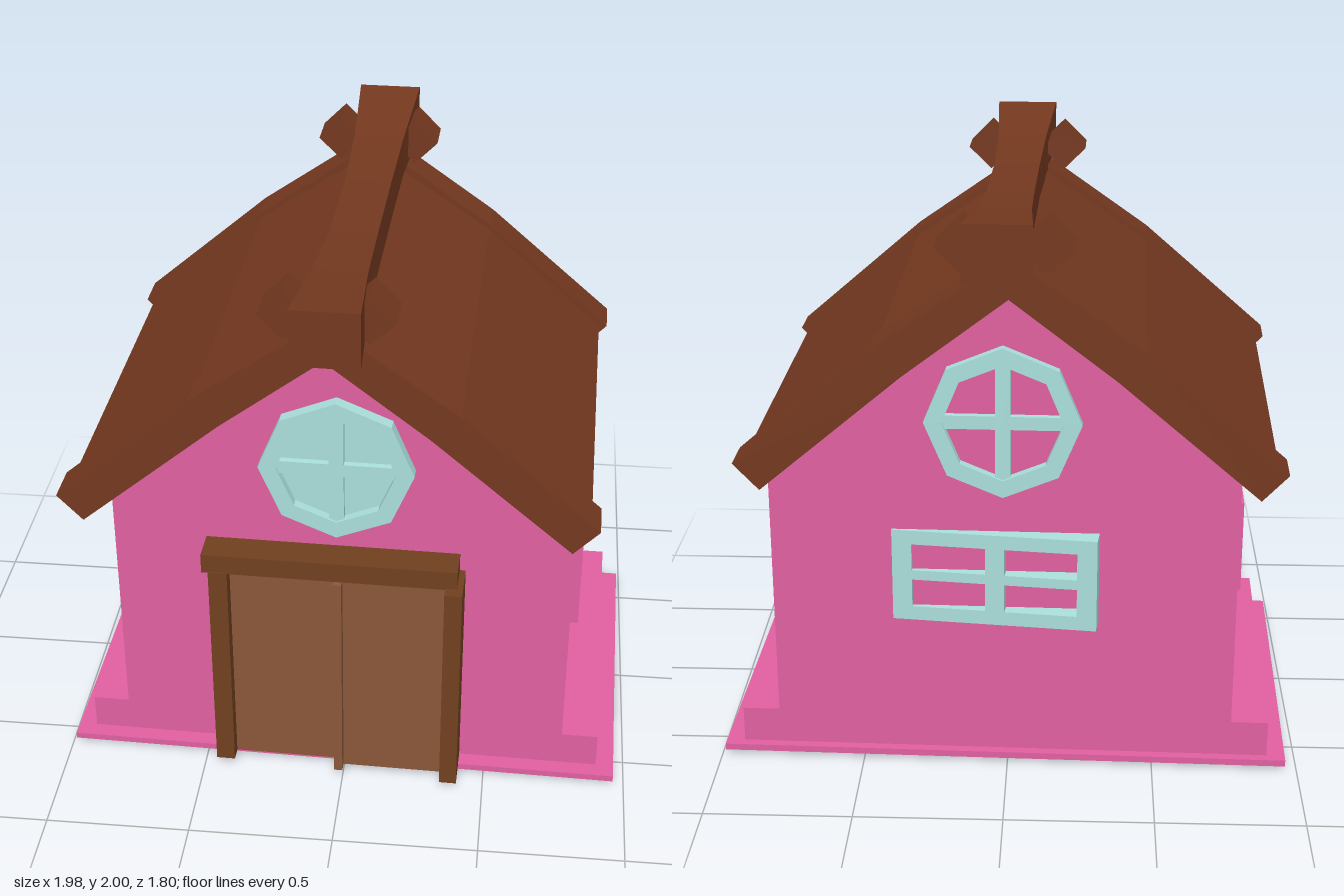
import * as THREE from 'three';

const mat = (color) => new THREE.MeshStandardMaterial({ color, flatShading: true, side: THREE.DoubleSide });
const PINK = mat(0xe0609f), ROOF = mat(0x74381f), POST = mat(0x70401f), DOOR = mat(0x8a5639), TEAL = mat(0xaadfdb);
const APEX = -0.03; // x of the roof ridge
const FRONT = 0.543, BACK = -0.602; // wall faces

function add(parent, name, geometry, material) {
  const m = new THREE.Mesh(geometry, material);
  m.name = name;
  parent.add(m);
  return m;
}

// Box given by its limits
function box(parent, name, material, x0, x1, y0, y1, z0, z1) {
  const m = add(parent, name, new THREE.BoxGeometry(x1 - x0, y1 - y0, z1 - z0), material);
  m.position.set((x0 + x1) / 2, (y0 + y1) / 2, (z0 + z1) / 2);
  return m;
}

const path = (pts, Type = THREE.Shape) => new Type(pts.map(([x, y]) => new THREE.Vector2(x, y)));
const rect = (x0, x1, y0, y1) => [[x0, y0], [x1, y0], [x1, y1], [x0, y1]];

// Outline with holes, extruded from z0 to z1
function slab(pts, z0, z1, holes = []) {
  const s = path(pts);
  s.holes = holes.map((h) => path(h, THREE.Path));
  return new THREE.ExtrudeGeometry(s, { depth: z1 - z0, bevelEnabled: false }).translate(0, 0, z0);
}

// Both slopes of a roof from the right half of its top and underside
function roofOutline(top, under) {
  const mirror = (p) => p.slice(1).map(([x, y]) => [-x, y]).reverse();
  const outline = [...mirror(top), ...top, ...[...under].reverse(), ...mirror(under).reverse()];
  return outline.map(([x, y]) => [x + APEX, y]);
}

// Four-pane window frame, outer face at z = 0
function paneWindow(material, depth) {
  const g = new THREE.Group();
  const holes = [];
  for (const [x0, x1] of [[-0.28, -0.03], [0.035, 0.28]])
    for (const [y0, y1] of [[-0.115, -0.015], [0.02, 0.115]]) holes.push(rect(x0, x1, y0, y1));
  add(g, 'windowFrame', slab(rect(-0.347, 0.347, -0.165, 0.165), -depth, 0, holes), material);
  return g;
}

// Octagonal window with a cross of glazing bars
function octagonWindow(name, glazed) {
  const g = new THREE.Group();
  g.name = name;
  const ring = (r) => Array.from({ length: 8 }, (_, i) => [r * Math.sin(i * Math.PI / 4), r * Math.cos(i * Math.PI / 4)]);
  add(g, 'octagonFrame', slab(ring(0.26), 0, 0.045, [ring(0.2)]), TEAL);
  box(g, 'verticalBar', TEAL, -0.025, 0.025, -0.2, 0.2, 0, 0.035);
  box(g, 'horizontalBar', TEAL, -0.2, 0.2, -0.023, 0.023, 0, 0.035);
  if (glazed) add(g, 'pane', slab(ring(0.21), 0, 0.012), TEAL);
  return g;
}

// Side wall with its window and the step at its foot; s is the side
function sideWall(s) {
  const g = new THREE.Group();
  g.name = s > 0 ? 'leftWall' : 'rightWall';
  g.rotation.y = s * Math.PI / 2;
  const c = s * 0.03, w = -s * 0.025, half = (FRONT - BACK) / 2;
  add(g, 'sidePanel', slab(rect(c - half, c + half, 0.16, s > 0 ? 1.1 : 1.13), 0.77, 0.785,
    [rect(w - 0.33, w + 0.33, 0.55, 0.85)]), PINK);
  const win = paneWindow(PINK, 0.11);
  win.name = 'sideWindow';
  win.position.set(w, 0.7, 0.815);
  box(win, 'windowBack', PINK, -0.347, 0.347, -0.165, 0.165, -0.12, -0.11);
  g.add(win);
  // hollow step
  box(g, 'stepTread', PINK, c - half, c + half, 0.15, 0.165, 0.77, 0.912);
  box(g, 'stepRiser', PINK, c - half, c + half, 0.03, 0.165, 0.897, 0.912);
  return g;
}

export function createModel() {
  const root = new THREE.Group();
  root.name = 'cottage';
  const house = new THREE.Group();
  house.name = 'house';
  house.rotation.y = -0.022;
  root.add(house);

  // Base rim, open in the middle
  const base = add(house, 'baseRim', slab(rect(-0.975, 0.975, -0.6, 0.635), 0.015, 0.038,
    [rect(-0.9, 0.9, -0.53, 0.59)]), PINK);
  base.rotation.x = -Math.PI / 2;
  box(house, 'threshold', PINK, -0.22, 0.47, 0, 0.015, 0.53, 0.545);

  // Gable walls
  const gable = [[-0.912, 0.03], [0.912, 0.03], [0.912, 0.165], [0.785, 0.165], [0.785, 1.09],
    [APEX + 0.34, 1.485], [APEX, 1.745], [APEX - 0.34, 1.485], [-0.785, 1.125], [-0.785, 0.165], [-0.912, 0.165]];
  add(house, 'frontWall', slab(gable, FRONT - 0.015, FRONT), PINK);
  add(house, 'backWall', slab(gable, BACK, BACK + 0.015), PINK);
  for (const s of [1, -1]) house.add(sideWall(s));

  // Roof panels and the thicker boards at both ends
  const panel = roofOutline([[0, 1.84], [0.43, 1.547], [0.86, 1.17]], [[0, 1.755], [0.34, 1.5], [0.82, 1.13]]);
  const board = roofOutline([[0, 1.87], [0.435, 1.565], [0.89, 1.17]], [[0, 1.735], [0.34, 1.475], [0.805, 1.08]]);
  add(house, 'roofPanels', slab(panel, -0.67, 0.6), ROOF);
  add(house, 'frontRoofBoard', slab(board, 0.59, 0.73), ROOF);
  add(house, 'backRoofBoard', slab(board, -0.8, -0.66), ROOF);

  // Sagging ridge beam that flares at its ends: z, half width, bottom, top
  const stations = [[-0.9, 0.11, 1.81, 2], [-0.53, 0.088, 1.808, 1.952], [-0.2, 0.08, 1.78, 1.925],
    [0.2, 0.08, 1.78, 1.925], [0.53, 0.088, 1.808, 1.952], [0.9, 0.11, 1.81, 2]];
  const beam = new THREE.BoxGeometry(2, 2, 5, 1, 1, 5);
  const p = beam.attributes.position;
  for (let i = 0; i < p.count; i++) {
    const [z, w, lo, hi] = stations[Math.round(p.getZ(i) + 2.5)];
    p.setXYZ(i, p.getX(i) * w, p.getY(i) > 0 ? hi : lo, z);
  }
  beam.computeVertexNormals();
  add(house, 'ridgeBeam', beam, ROOF);

  // Diamond blocks beside the beam ends
  for (const z of [0.67, -0.71])
    for (const x of [-0.15, 0.12]) {
      const b = add(house, 'ridgeBlock', new THREE.BoxGeometry(0.115, 0.115, 0.14), ROOF);
      b.position.set(x, 1.89, z);
      b.rotation.z = Math.PI / 4;
    }

  // Double door
  const door = new THREE.Group();
  door.name = 'door';
  house.add(door);
  box(door, 'doorPost', POST, -0.442, -0.377, 0.03, 0.85, 0.5, 0.66);
  box(door, 'doorPost', POST, 0.363, 0.423, 0.03, 0.85, 0.5, 0.695);
  box(door, 'lintel', POST, -0.465, 0.403, 0.845, 0.917, 0.53, 0.655);
  box(door, 'doorLeaf', DOOR, -0.38, -0.01, 0.03, 0.848, 0.5, 0.61);
  box(door, 'doorLeaf', DOOR, 0.01, 0.365, 0.03, 0.848, 0.55, 0.64);
  box(door, 'middleStrip', DOOR, -0.015, 0.015, 0.03, 0.845, 0.55, 0.675);

  // Gable windows
  const front = octagonWindow('frontRoundWindow', true);
  front.position.set(-0.012, 1.24, FRONT);
  const back = octagonWindow('backRoundWindow', false);
  back.position.set(0, 1.26, BACK + 0.012);
  back.rotation.y = Math.PI;
  const backPanes = paneWindow(TEAL, 0.08);
  backPanes.name = 'backWindow';
  backPanes.position.set(0.03, 0.7, -0.64);
  backPanes.rotation.y = Math.PI - 0.085;
  house.add(front, back, backPanes);

  return root;
}
